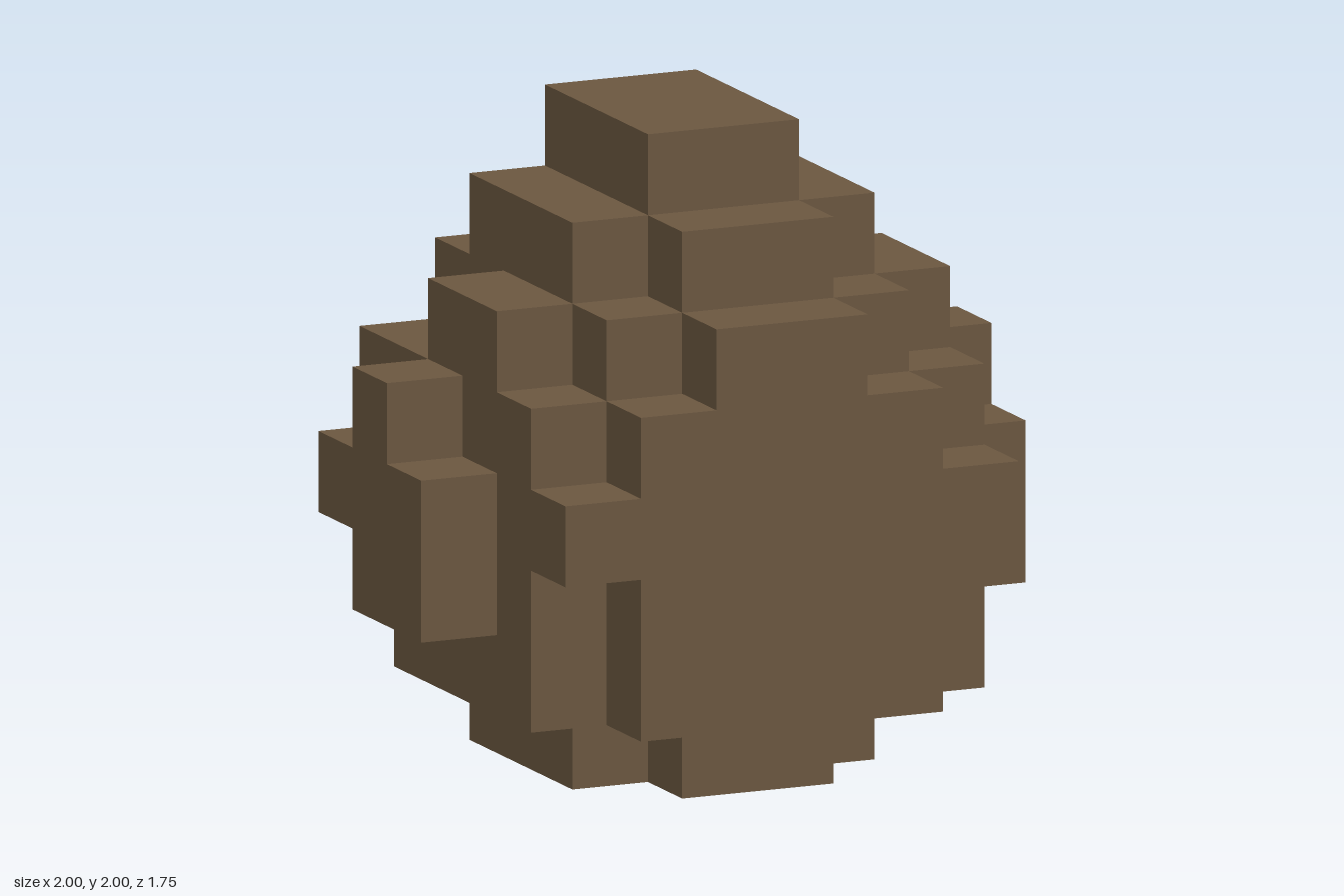
import * as THREE from 'three';

const S = 0.25; // edge of one block

// Half width in blocks for each row from back to front, one list per layer from the ground up
const LAYERS = [
  ['base', [0, 0, 2, 2, 2, 1, 0]],
  ['lowerBelly', [0, 2, 3, 3, 3, 3, 2]],
  ['belly', [2, 3, 3, 4, 4, 3, 2]],
  ['waist', [2, 3, 4, 4, 4, 3, 3]],
  ['upperBelly', [1, 3, 3, 4, 3, 3, 2]],
  ['shoulder', [0, 2, 2, 3, 3, 2, 1]],
  ['neck', [0, 0, 2, 2, 2, 1, 0]],
  ['cap', [0, 0, 1, 1, 1, 0, 0]],
];

// Stepped outline, mirrored left to right, extruded to one block of height
function layerGeometry(halfWidths) {
  const side = [];
  halfWidths.forEach((w, k) => {
    if (!w) return;
    const back = (k - 3.5) * S;
    if (halfWidths[k - 1] !== w) side.push([w * S, -back]);
    if (halfWidths[k + 1] !== w) side.push([w * S, -(back + S)]);
  });
  const right = side.map(([x, y]) => new THREE.Vector2(x, y));
  const left = side.map(([x, y]) => new THREE.Vector2(-x, y)).reverse();
  const geometry = new THREE.ExtrudeGeometry(new THREE.Shape([...right, ...left]), {
    depth: S,
    bevelEnabled: false,
  });
  return geometry.rotateX(-Math.PI / 2);
}

export function createModel() {
  const group = new THREE.Group();
  group.name = 'blockEgg';
  const brown = new THREE.MeshStandardMaterial({ color: 0x6b5740 });
  brown.name = 'brown';

  // Stack the layers
  LAYERS.forEach(([name, halfWidths], j) => {
    const mesh = new THREE.Mesh(layerGeometry(halfWidths), brown);
    mesh.name = name;
    mesh.position.y = j * S;
    group.add(mesh);
  });
  return group;
}
